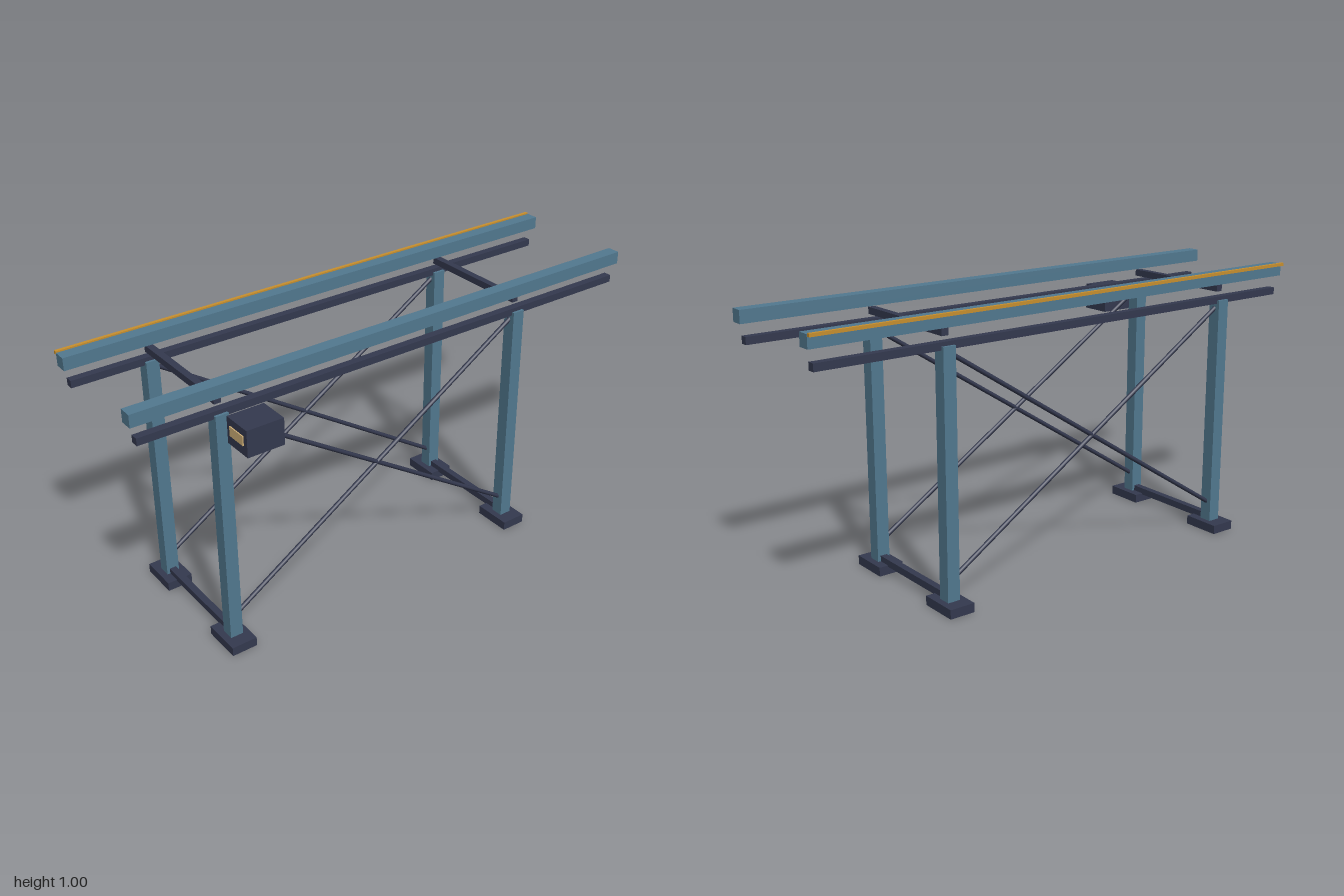
import * as THREE from 'three';

const mat = (name, color) => {
  const m = new THREE.MeshStandardMaterial({ color });
  m.name = name;
  return m;
};

export function createModel() {
  const model = new THREE.Group();
  model.name = 'railGantry';
  const steel = mat('steelBlue', 0x527990);
  const dark = mat('darkNavy', 0x34394f);
  const amber = mat('amber', 0xc8902f);
  const tan = mat('tanPanel', 0xd2b279);

  // Box given by its extents along each axis
  const box = (name, material, [x0, x1], [y0, y1], [z0, z1]) => {
    const mesh = new THREE.Mesh(new THREE.BoxGeometry(x1 - x0, y1 - y0, z1 - z0), material);
    mesh.position.set((x0 + x1) / 2, (y0 + y1) / 2, (z0 + z1) / 2);
    mesh.name = name;
    model.add(mesh);
    return mesh;
  };
  const around = (c, half) => [c - half, c + half];

  // Slim round bar between two points
  const bar = (name, a, b, radius) => {
    const dir = b.clone().sub(a);
    const mesh = new THREE.Mesh(new THREE.CylinderGeometry(radius, radius, dir.length(), 8), dark);
    mesh.position.copy(a).add(b).multiplyScalar(0.5);
    mesh.quaternion.setFromUnitVectors(new THREE.Vector3(0, 1, 0), dir.normalize());
    mesh.name = name;
    model.add(mesh);
  };

  const sides = [-0.252, 0.184];
  const frames = [0.697, -0.514];

  for (const x of sides) {
    // Long top rail with a slimmer rail beneath it
    box('topRail', steel, around(x, 0.023), [0.948, 0.993], [-1, 1]);
    box('lowerRail', dark, around(x, 0.014), [0.877, 0.903], [-0.98, 0.98]);

    // Posts on foot plates
    for (const z of frames) {
      box('post', steel, around(x, 0.0235), [0.001, 0.889], around(z, 0.0235));
      box('footPlate', dark, around(x, 0.0715), [0, 0.033], around(z, 0.047));
    }

    // Crossed side braces
    const [f, b] = frames;
    bar('brace', new THREE.Vector3(x, 0.095, f), new THREE.Vector3(x, 0.872, b), 0.008);
    bar('brace', new THREE.Vector3(x, 0.872, f), new THREE.Vector3(x, 0.095, b), 0.008);
  }

  // Cross beams joining the two sides
  for (const z of frames) {
    box('topCrossBeam', dark, sides, [0.918, 0.942], around(z, 0.0125));
    box('bottomCrossBeam', dark, sides, [0.028, 0.054], around(z, 0.0125));
  }

  // Thin strip running beside the right rail
  box('guideStrip', amber, [-0.289, -0.277], [0.986, 0.997], [-1, 1]);

  // Control box with a front panel
  box('controlBox', dark, [0.208, 0.321], [0.786, 0.881], [0.549, 0.683]);
  box('controlPanel', tan, [0.227, 0.302], [0.821, 0.855], [0.681, 0.687]);

  return model;
}
